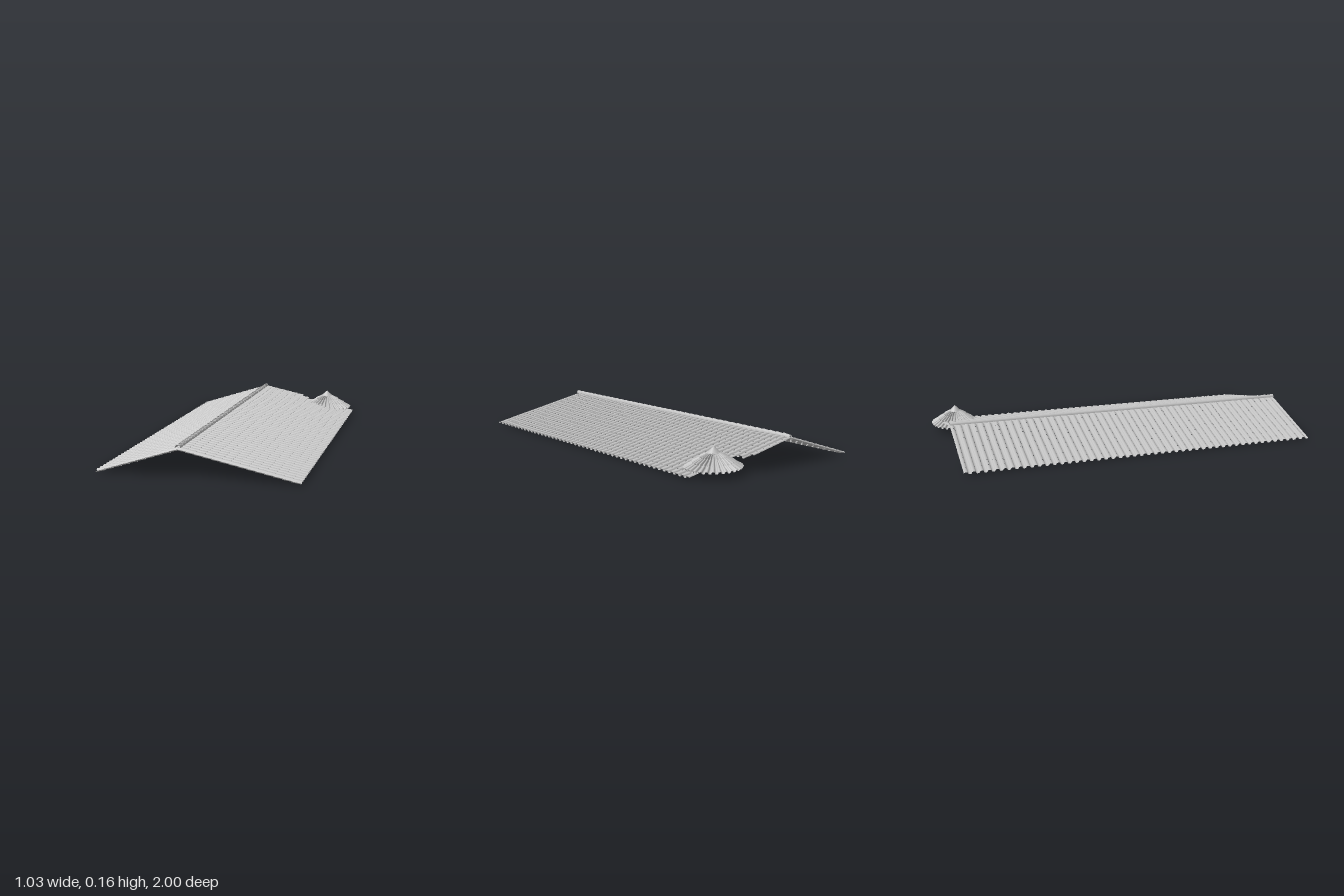
import * as THREE from 'three';

const V = (x, y, z) => new THREE.Vector3(x, y, z);

// Collects many curved tiles into one smooth-shaded geometry
function tileSet(segments = 6) {
  const pos = [], index = [];
  return {
    // Half-barrel from p0 (upper end) to p1 (lower end); negative heights make a trough
    add(p0, p1, up, w0, w1, h0, h1) {
      const side = p1.clone().sub(p0).cross(up).normalize();
      const start = pos.length / 3;
      [[p0, w0, h0], [p1, w1, h1]].forEach(([p, w, h]) => {
        for (let i = 0; i <= segments; i++) {
          const t = Math.PI * i / segments;
          const q = p.clone().addScaledVector(side, w * Math.cos(t)).addScaledVector(up, h * Math.sin(t));
          pos.push(q.x, q.y, q.z);
        }
      });
      const n = segments + 1;
      for (let i = 0; i < segments; i++) {
        const a = start + i, b = a + n;
        index.push(a, b, a + 1, a + 1, b, b + 1);
      }
    },
    mesh(name, material) {
      const g = new THREE.BufferGeometry();
      g.setAttribute('position', new THREE.Float32BufferAttribute(pos, 3));
      g.setIndex(index);
      g.computeVertexNormals();
      const m = new THREE.Mesh(g, material);
      m.name = name;
      return m;
    },
  };
}

// One line of overlapping tiles running down from a to b
function tileLine(set, a, b, up, courses, cover, width, height, lift) {
  for (let c = 0; c < courses; c++) {
    const t0 = Math.max(0, (c - 0.1) / courses), t1 = (c + 1) / courses;
    const p0 = a.clone().lerp(b, t0);
    const p1 = a.clone().lerp(b, t1).addScaledVector(up, lift);
    const w0 = width(t0), w1 = width(t1);
    if (cover) set.add(p0, p1, up, w0 * 0.85, w1, height * 0.8, height);
    else set.add(p0, p1, up, w0, w1 * 0.92, -height, -height * 0.85);
  }
}

export function createModel() {
  const group = new THREE.Group();
  const clay = new THREE.MeshStandardMaterial({ color: 0xc0c0c0, side: THREE.DoubleSide });
  clay.name = 'greyTile';

  const ridgeX = -0.09, ridgeY = 0.143, pitch = 0.04, rows = 49, course = 0.045;

  // Two roof slopes of alternating cover and pan tiles
  const slopes = [
    { name: 'rightSlope', x: -0.515, y: 0.0075 },
    { name: 'leftSlope', x: 0.515, y: 0.012 },
  ];
  for (const s of slopes) {
    const covers = tileSet(), pans = tileSet();
    const dx = s.x - ridgeX, dy = s.y - ridgeY;
    const up = V(-dy, dx, 0).multiplyScalar(Math.sign(dx)).normalize();
    for (let i = 0; i < rows; i++) {
      for (const cover of [true, false]) {
        const z = -0.95 + i * pitch + (cover ? 0 : 0.02);
        // Rows behind the turret centre stop where they meet it
        let endX = s.x;
        if (s.x > 0 && z < -0.875) endX = z < -0.94 ? 0.17 : 0.21;
        const f = (endX - ridgeX) / dx;
        const a = V(ridgeX, ridgeY, z), b = V(endX, ridgeY + dy * f, z);
        const n = Math.round(a.distanceTo(b) / course);
        tileLine(cover ? covers : pans, a, b, up, n, cover, () => cover ? 0.0118 : 0.0108, 0.0075, 0.0018);
      }
    }
    group.add(covers.mesh(s.name + 'Covers', clay), pans.mesh(s.name + 'Pans', clay));
  }

  // Ridge capping
  const ridge = tileSet(8);
  tileLine(ridge, V(ridgeX, 0.147, -0.96), V(ridgeX, 0.147, 0.995), V(0, 1, 0), 40, true, () => 0.0138, 0.016, 0.0015);
  group.add(ridge.mesh('ridgeCapping', clay));

  // Conical turret roof, slightly oval in plan
  const turret = new THREE.Group();
  turret.name = 'turretRoof';
  turret.position.set(0.345, 0, -0.865);
  turret.scale.z = 0.875;
  const tCovers = tileSet(), tPans = tileSet();
  const sectors = 28, rTop = 0.028, rRim = 0.151, yTop = 0.11, yRim = 0.037;
  for (let i = 0; i < sectors * 2; i++) {
    const cover = i % 2 === 0;
    const ang = Math.PI * i / sectors, c = Math.cos(ang), s = Math.sin(ang);
    const a = V(rTop * c, yTop, rTop * s), b = V(rRim * c, yRim, rRim * s);
    const up = V((yTop - yRim) * c, rRim - rTop, (yTop - yRim) * s).normalize();
    const width = t => (rTop + (rRim - rTop) * t) * Math.PI / sectors * 0.58;
    tileLine(cover ? tCovers : tPans, a, b, up, 3, cover, width, 0.008, 0.003);
  }
  const cap = new THREE.Mesh(new THREE.ConeGeometry(0.038, 0.034, 24, 1, true), clay);
  cap.name = 'turretCap';
  cap.position.y = 0.127;
  turret.add(tCovers.mesh('turretCovers', clay), tPans.mesh('turretPans', clay), cap);
  group.add(turret);

  return group;
}
